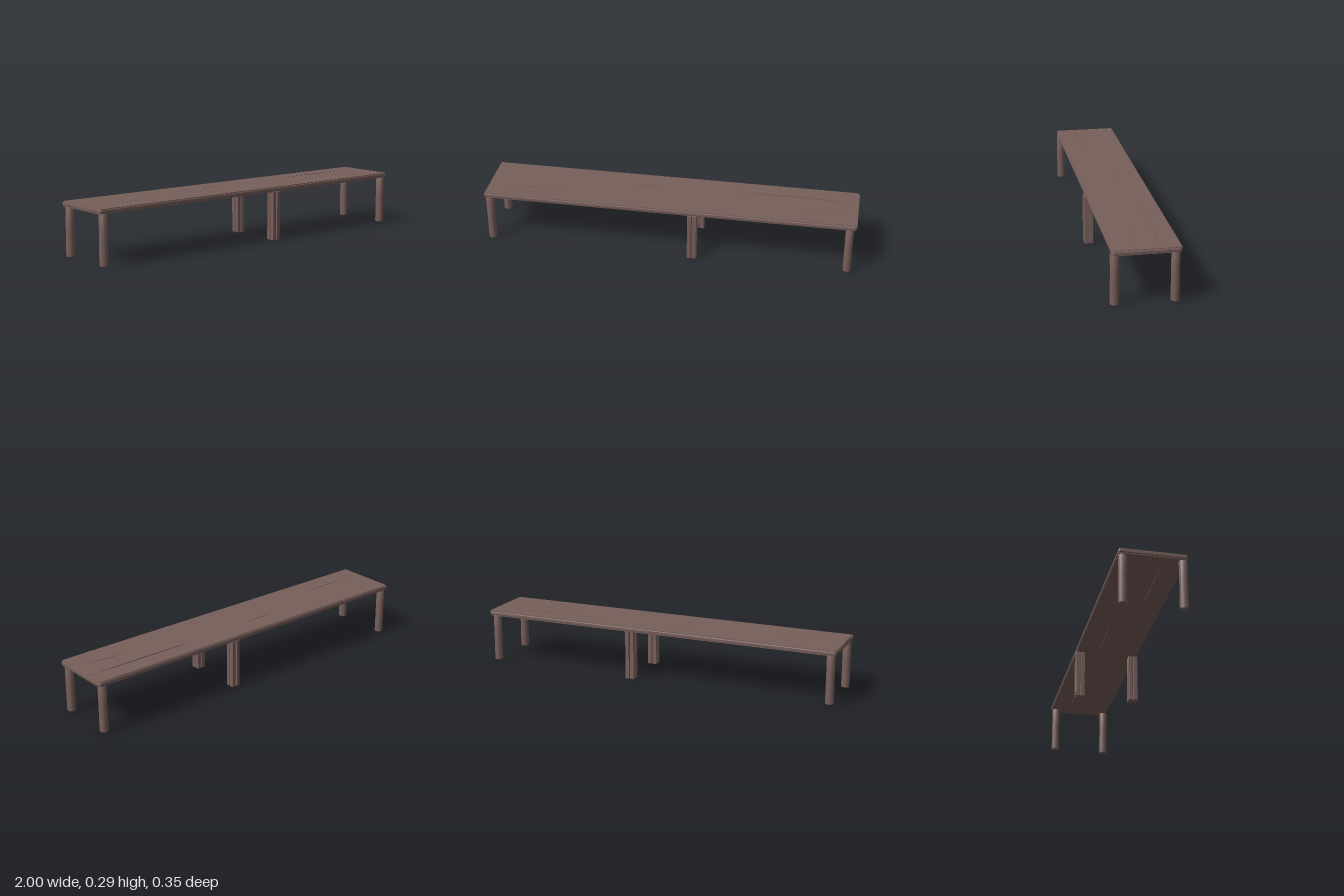
import * as THREE from 'three';

const wood = new THREE.MeshStandardMaterial({ color: 0x775f5a });
wood.name = 'brown wood';

function add(group, name, geometry, x = 0, y = 0, z = 0) {
  const mesh = new THREE.Mesh(geometry, wood);
  mesh.name = name;
  mesh.position.set(x, y, z);
  group.add(mesh);
  return mesh;
}

// Four-cornered sliver that tapers at both ends
function slit([x0, z0, x1, z1, w]) {
  const mx = (x0 + x1) / 2, mz = (z0 + z1) / 2;
  return new THREE.Path([
    new THREE.Vector2(x0, z0), new THREE.Vector2(mx, mz - w / 2),
    new THREE.Vector2(x1, z1), new THREE.Vector2(mx, mz + w / 2),
  ]);
}

// Horizontal slab with z taken from the shape's y, and its top at y = 0
function slab(inset, depth, bevel, slits = []) {
  const x = 1 - inset, z = 0.1705 - inset;
  const shape = new THREE.Shape([
    new THREE.Vector2(-x, -z + 0.004), new THREE.Vector2(-x + 0.004, -z),
    new THREE.Vector2(x - 0.012, -z), new THREE.Vector2(x, -z + 0.012),
    new THREE.Vector2(x, z - 0.008), new THREE.Vector2(x - 0.008, z),
    new THREE.Vector2(-x + 0.004, z), new THREE.Vector2(-x, z - 0.004),
  ]);
  shape.holes = slits.map(slit);
  const geometry = new THREE.ExtrudeGeometry(shape, {
    depth: depth - 2 * bevel, bevelEnabled: bevel > 0, bevelSize: bevel,
    bevelThickness: bevel, bevelOffset: 0, bevelSegments: 2,
  });
  geometry.translate(0, 0, bevel);
  return geometry.rotateX(Math.PI / 2);
}

// Worn post with rounded ends, slightly wider at the foot
function roundPost(height) {
  const r = 0.0225;
  const profile = [[0, 0], [r - 0.004, 0], [r, 0.004], [r * 0.97, height * 0.6], [r * 0.98, height], [0, height]];
  return new THREE.LatheGeometry(profile.map(([a, b]) => new THREE.Vector2(a, b)), 14);
}

// Square post with a split running down each side
function splitPost(height) {
  const points = [];
  const side = [[-0.023, 0.025], [-0.004, 0.025], [0, 0.017], [0.004, 0.025], [0.023, 0.025]];
  for (let i = 0; i < 4; i++) {
    const turn = -i * Math.PI / 2;
    for (const [x, y] of side) {
      points.push(new THREE.Vector2(x, y).rotateAround(new THREE.Vector2(), turn));
    }
  }
  const geometry = new THREE.ExtrudeGeometry(new THREE.Shape(points), { depth: height, bevelEnabled: false });
  return geometry.rotateX(-Math.PI / 2);
}

export function createModel() {
  const model = new THREE.Group();
  model.name = 'bench';

  // Seat plank: solid core with cracked skins above and below
  const seat = new THREE.Group();
  seat.name = 'seat';
  seat.position.z = -0.0025;
  model.add(seat);
  add(seat, 'seatCore', slab(0.004, 0.019, 0.004), 0, 0.285);
  add(seat, 'seatTop', slab(0.004, 0.004, 0, [
    [0.32, -0.073, 0.994, -0.068, 0.011],
    [-0.22, -0.055, -0.04, -0.052, 0.006],
    [-0.94, 0.06, -0.51, 0.06, 0.004],
    [0.68, 0.028, 0.95, 0.054, 0.005],
  ]), 0, 0.289);
  add(seat, 'seatUnderside', slab(0.004, 0.004, 0, [
    [0.35, -0.072, 0.95, -0.068, 0.006],
    [-0.25, -0.055, 0.1, -0.052, 0.005],
    [-0.9, 0.06, -0.5, 0.06, 0.005],
  ]), 0, 0.266);

  // Splinter hanging below the plank
  const splinter = add(seat, 'splinter', new THREE.ConeGeometry(0.012, 0.009, 5), -0.42, 0.2585, 0.09);
  splinter.rotation.x = Math.PI;

  // Round legs at both ends, square legs near the middle
  for (const [end, x] of [['left', 0.963], ['right', -0.971]]) {
    for (const [face, z] of [['Front', 0.15], ['Back', x > 0 ? -0.144 : -0.149]]) {
      add(model, `${end}${face}Leg`, roundPost(0.261), x, 0.004, z);
    }
  }
  add(model, 'middleFrontLeg', splitPost(0.264), 0.135, 0, 0.149);
  add(model, 'middleBackLeg', splitPost(0.264), 0.135, 0, -0.148);
  return model;
}
